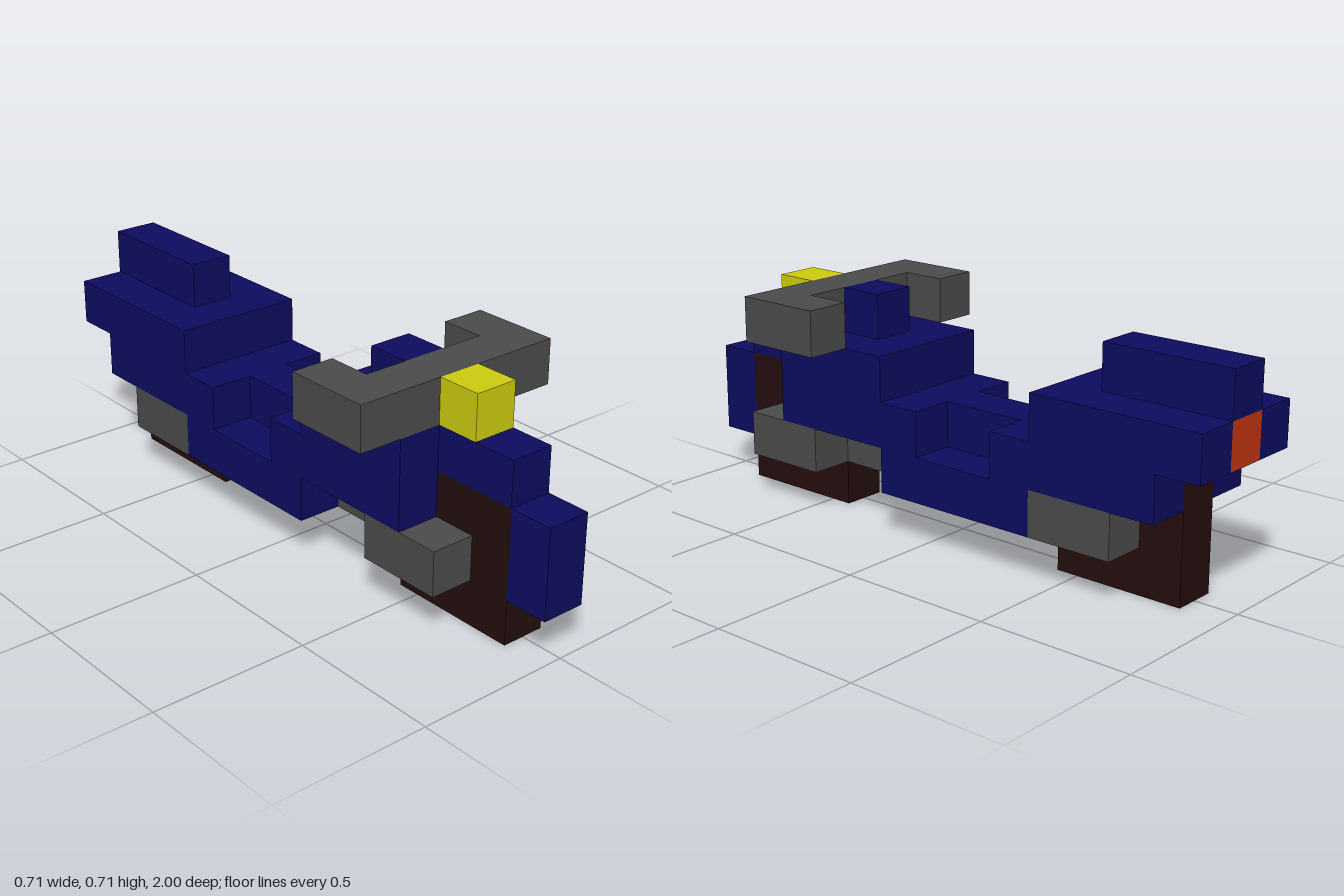
import * as THREE from 'three';

const U = 1 / 7; // one block

const mat = (name, color) => {
  const m = new THREE.MeshStandardMaterial({ color });
  m.name = name;
  return m;
};

export function createModel() {
  const blue = mat('navyPaint', 0x0c0c60);
  const grey = mat('greyMetal', 0x4b4b4b);
  const brown = mat('darkTyre', 0x240e0e);
  const yellow = mat('headlightYellow', 0xcccc10);
  const orange = mat('tailLightOrange', 0xc03410);

  const model = new THREE.Group();
  model.name = 'motorbike';

  // Box given by its block limits on each axis
  const box = (name, material, [x0, x1], [y0, y1], [z0, z1]) => {
    const geo = new THREE.BoxGeometry((x1 - x0) * U, (y1 - y0) * U, (z1 - z0) * U);
    const mesh = new THREE.Mesh(geo, material);
    mesh.name = name;
    mesh.position.set((x0 + x1) / 2 * U, (y0 + y1) / 2 * U, (z0 + z1) / 2 * U);
    model.add(mesh);
  };
  // The same box on both sides
  const pair = (name, material, [x0, x1], y, z) => {
    box(name + 'Left', material, [x0, x1], y, z);
    box(name + 'Right', material, [-x1, -x0], y, z);
  };

  const mid = [-0.5, 0.5], side = [0.5, 1.5], wide = [-1.5, 1.5];

  // Wheels
  box('frontWheel', brown, mid, [0, 3], [3, 6]);
  box('rearWheel', brown, mid, [0, 3], [-6, -3]);

  // Front mudguard
  box('mudguardFront', blue, mid, [1, 3], [6, 7]);
  box('mudguardTop', blue, mid, [3, 4], [4, 6]);

  // Fork, rear axle and engine
  pair('fork', grey, side, [1, 2], [3, 5]);
  pair('rearAxle', grey, side, [1, 2], [-5, -3]);
  box('engine', grey, mid, [1, 2], [-3, 3]);

  // Tank and its cap
  box('tankTop', blue, wide, [3, 4], [1, 4]);
  box('tankCore', blue, mid, [2, 3], [1, 3]);
  pair('tankSide', blue, side, [2, 3], [1, 4]);
  box('tankCap', blue, mid, [4, 5], [2, 3]);

  // Body with a foot recess on each side
  box('bodyCore', blue, mid, [2, 3], [-3, 1]);
  pair('sidePanel', blue, side, [1, 2], [-3, 1]);
  pair('kneePanel', blue, side, [2, 3], [0, 1]);
  pair('hipPanel', blue, side, [2, 3], [-3, -2]);

  // Tail and seat
  pair('tailSide', blue, side, [2, 3], [-6, -3]);
  box('tail', blue, wide, [3, 4], [-6, -3]);
  pair('tailEnd', blue, side, [3, 4], [-7, -6]);
  box('seat', blue, mid, [4, 5], [-7, -4]);
  box('tailLight', orange, mid, [3, 4], [-7, -6]);

  // Handlebar and headlight
  box('handlebar', grey, [-2.5, 2.5], [4, 5], [3, 4]);
  pair('handGrip', grey, [1.5, 2.5], [4, 5], [2, 3]);
  box('headlight', yellow, mid, [4, 5], [4, 5]);

  return model;
}
